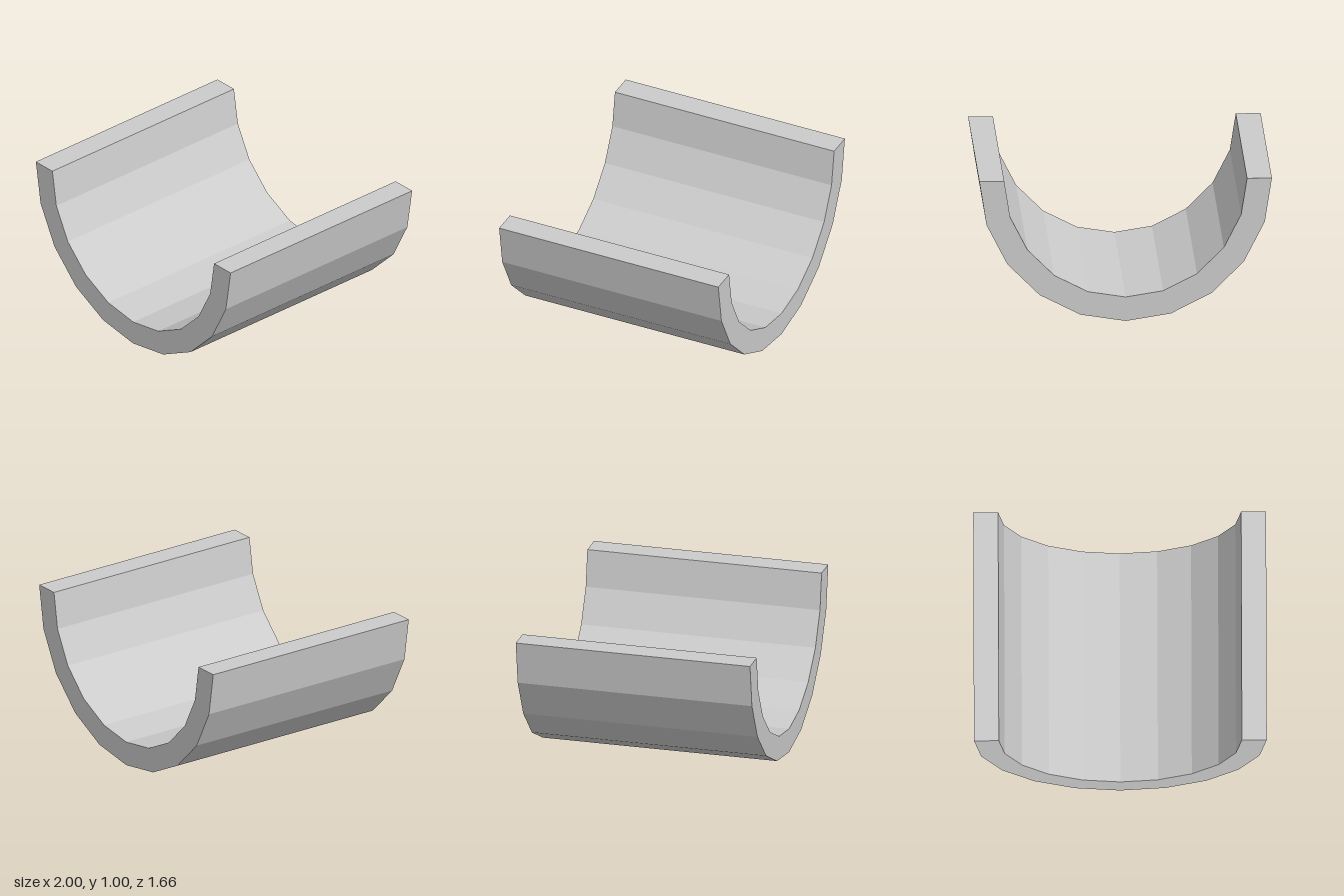
import * as THREE from 'three';

const OUTER = 1, INNER = 0.83, LENGTH = 1.66, SIDES = 10;

// Points of a faceted half circle hanging below y = 1, from -x to +x
function halfRing(radius) {
  return Array.from({ length: SIDES + 1 }, (_, i) => {
    const a = Math.PI + (i / SIDES) * Math.PI;
    return new THREE.Vector2(radius * Math.cos(a), 1 + radius * Math.sin(a));
  });
}

export function createModel() {
  const group = new THREE.Group();
  group.name = 'halfPipe';

  // Trough wall: outer arc, then back along the inner arc
  const section = new THREE.Shape([...halfRing(OUTER), ...halfRing(INNER).reverse()]);
  const geometry = new THREE.ExtrudeGeometry(section, { depth: LENGTH, bevelEnabled: false });
  geometry.translate(0, 0, -LENGTH / 2);

  const trough = new THREE.Mesh(
    geometry,
    new THREE.MeshStandardMaterial({ color: 0xcccccc, flatShading: true })
  );
  trough.name = 'trough';
  group.add(trough);
  return group;
}
